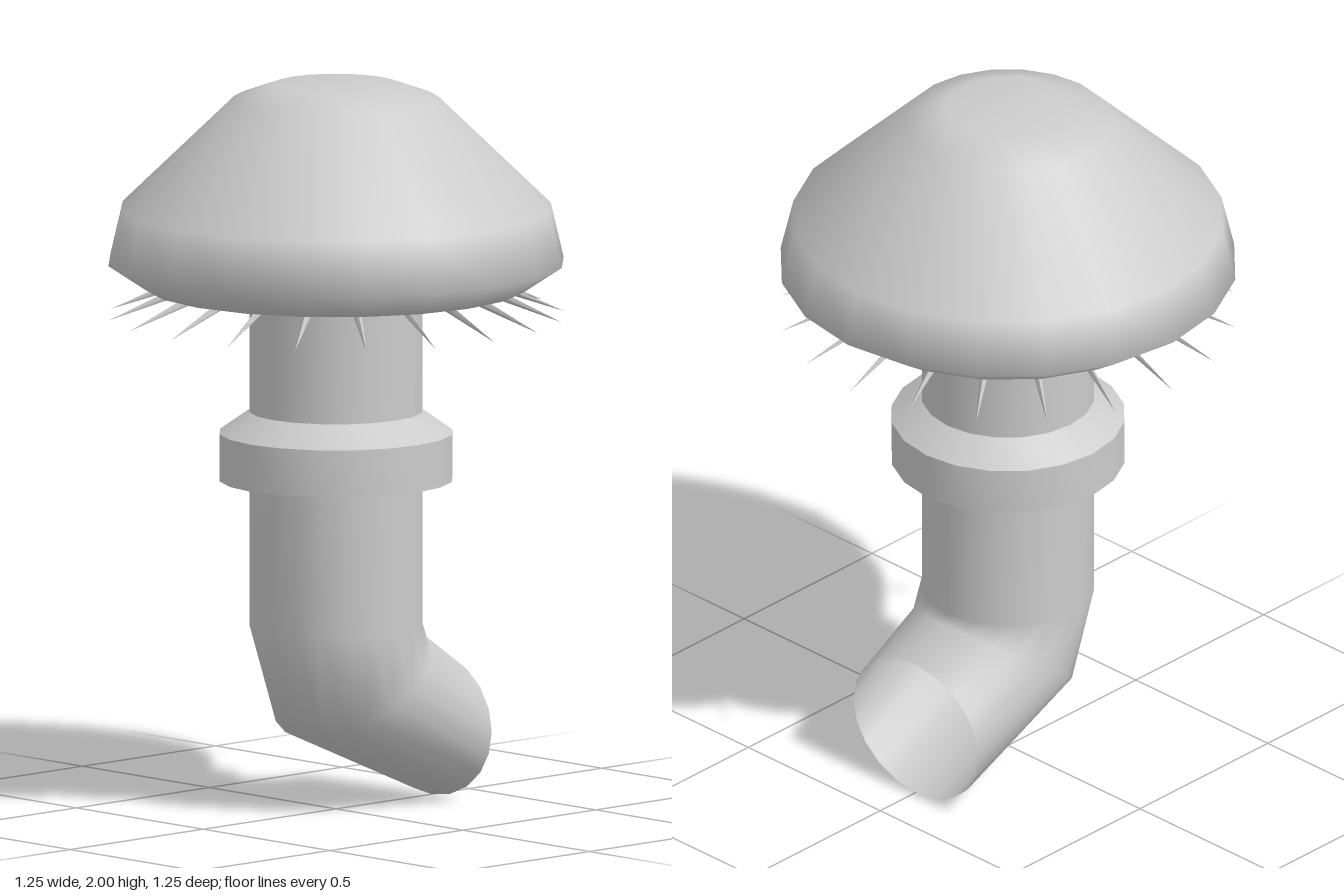
import * as THREE from 'three';
import { toCreasedNormals } from 'three/addons/utils/BufferGeometryUtils.js';

const SIDES = 20;

const lathe = (points) =>
  new THREE.LatheGeometry(points.map(([r, y]) => new THREE.Vector2(r, y)), SIDES);

// Tube lofted through cross-sections, each given by its front (z, y) and back (z, y) points
function loft(sections, radius) {
  const positions = [];
  const index = [];
  for (const [zf, yf, zb, yb] of sections) {
    for (let i = 0; i < SIDES; i++) {
      const a = (i / SIDES) * Math.PI * 2;
      const t = (1 - Math.cos(a)) / 2;
      positions.push(Math.sin(a) * radius, yf + (yb - yf) * t, zf + (zb - zf) * t);
    }
  }
  for (let s = 0; s < sections.length - 1; s++) {
    for (let i = 0; i < SIDES; i++) {
      const j = (i + 1) % SIDES;
      const a = s * SIDES + i, b = s * SIDES + j;
      const c = a + SIDES, d = b + SIDES;
      index.push(a, b, d, a, d, c);
    }
  }
  const geometry = new THREE.BufferGeometry();
  geometry.setAttribute('position', new THREE.Float32BufferAttribute(positions, 3));
  geometry.setIndex(index);
  geometry.computeVertexNormals();
  return geometry;
}

export function createModel() {
  const model = new THREE.Group();
  const solid = new THREE.MeshStandardMaterial({ color: 0xcccccc });
  const open = new THREE.MeshStandardMaterial({ color: 0xcccccc, side: THREE.DoubleSide });

  const add = (name, geometry, material, parent = model) => {
    const mesh = new THREE.Mesh(geometry, material);
    mesh.name = name;
    parent.add(mesh);
    return mesh;
  };

  // Hollow domed cap, open underneath
  add('cap', lathe([
    [0.52, 1.44], [0.625, 1.51], [0.59, 1.66], [0.28, 1.96], [0.17, 2], [0, 2],
  ]), open);

  // Upright pipe with an elbow opening to the back
  const r = 0.237;
  add('pipe', loft([
    [-0.36, 0, -0.36, 0.4],
    [0.13, 0.21, -0.25, 0.48],
    [r, 0.51, -r, 0.51],
    [r, 1.1, -r, 1.1],
    [r, 1.52, -r, 1.52],
  ], r), open);

  // Collar around the pipe with a bevelled top
  add('collar', toCreasedNormals(lathe([
    [0.23, 0.91], [0.32, 0.91], [0.32, 1.04], [0.235, 1.1],
  ]), 0.5), solid);

  // Ring of spikes fanning out and down from the top of the pipe
  const spikes = new THREE.Group();
  spikes.name = 'spikes';
  model.add(spikes);
  const root = new THREE.Vector2(0.2, 1.53);
  const tip = new THREE.Vector2(0.625, 1.36);
  const length = root.distanceTo(tip);
  const spike = new THREE.ConeGeometry(0.03, length, 4);
  spike.translate(0, length / 2, 0);
  spike.rotateZ(Math.atan2(tip.y - root.y, tip.x - root.x) - Math.PI / 2);
  spike.translate(root.x, root.y, 0);
  for (let i = 0; i < SIDES; i++) {
    add('spike', spike, solid, spikes).rotation.y = (i / SIDES) * Math.PI * 2;
  }

  return model;
}
